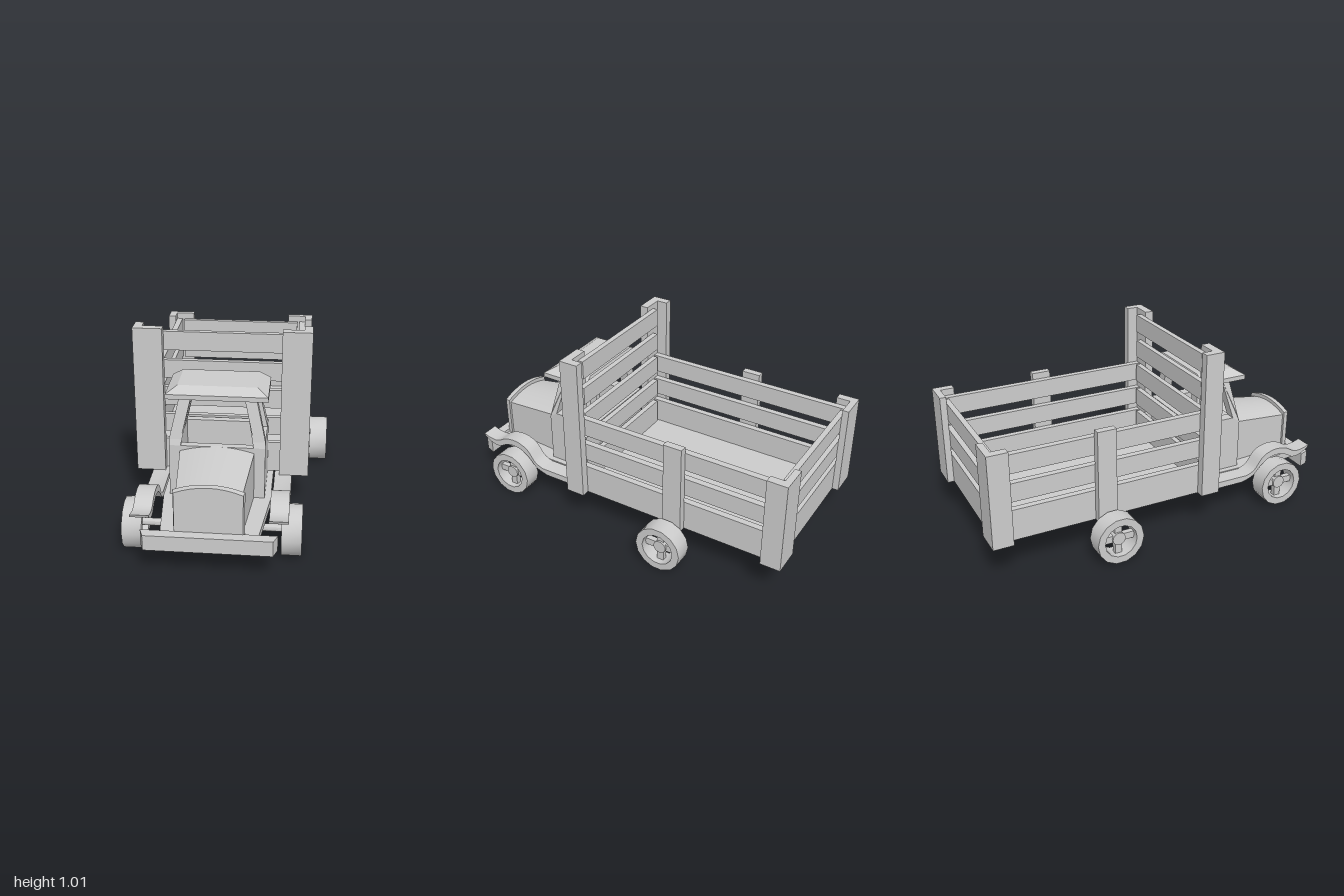
import * as THREE from 'three';
import { toCreasedNormals } from 'three/addons/utils/BufferGeometryUtils.js';

const material = new THREE.MeshStandardMaterial({ color: 0xcccccc, side: THREE.DoubleSide });
const V2 = (a) => a.map(([x, y]) => new THREE.Vector2(x, y));

export function createModel() {
  const truck = new THREE.Group();
  truck.name = 'stakeTruck';

  function add(name, geometry, parent = truck) {
    const mesh = new THREE.Mesh(geometry, material);
    mesh.name = name;
    parent.add(mesh);
    return mesh;
  }
  // Box from its limits on each axis
  function box(name, x0, x1, y0, y1, z0, z1, parent) {
    const g = new THREE.BoxGeometry(x1 - x0, y1 - y0, z1 - z0);
    g.translate((x0 + x1) / 2, (y0 + y1) / 2, (z0 + z1) / 2);
    return add(name, g, parent);
  }
  // Side profile in (z, y), extruded from x0 to x1
  function sideExtrude(shape, x0, x1) {
    const g = new THREE.ExtrudeGeometry(shape, { depth: x1 - x0, bevelEnabled: false, curveSegments: 8 });
    return g.rotateY(-Math.PI / 2).translate(x1, 0, 0);
  }
  // Plan outline in (x, z), extruded from y0 to y1
  function planExtrude(points, y0, y1) {
    const shape = new THREE.Shape(V2(points.map(([x, z]) => [x, -z])));
    const g = new THREE.ExtrudeGeometry(shape, { depth: y1 - y0, bevelEnabled: false });
    return g.rotateX(-Math.PI / 2).translate(0, y0, 0);
  }
  // Closed solid through cross-sections with equal point counts
  function loft(sections) {
    const n = sections[0].length, pos = [], idx = [];
    sections.forEach((s) => s.forEach((p) => pos.push(...p)));
    for (let s = 0; s < sections.length - 1; s++)
      for (let i = 0; i < n; i++) {
        const a = s * n + i, b = s * n + (i + 1) % n;
        idx.push(a, b, b + n, a, b + n, a + n);
      }
    const last = (sections.length - 1) * n;
    for (let i = 1; i < n - 1; i++) idx.push(0, i + 1, i, last, last + i, last + i + 1);
    const g = new THREE.BufferGeometry();
    g.setAttribute('position', new THREE.Float32BufferAttribute(pos, 3));
    g.setIndex(idx);
    return toCreasedNormals(g, 0.4);
  }

  // Chassis and bumper
  add('chassis', planExtrude([[-0.28, -0.63], [0.28, -0.63], [0.277, 0.56], [0.235, 0.95],
    [-0.235, 0.95], [-0.277, 0.56]], 0.16, 0.2));
  add('bumper', planExtrude([[-0.33, 0.945], [0.33, 0.945], [0.31, 1], [-0.31, 1]], 0.14, 0.22));

  // Bed floor, front and rear slats
  box('bedFloor', -0.42, 0.42, 0.2, 0.228, -0.965, 0.24);
  const slats = [[0.225, 0.37], [0.415, 0.517], [0.57, 0.673], [0.725, 0.825], [0.88, 0.982]];
  slats.forEach(([a, b], i) => {
    box('frontSlat', -0.37, 0.37, a, b, 0.21, 0.24);
    if (i < 3) box('rearSlat', -0.37, 0.37, a, b, -0.965, -0.935);
  });

  // Side slats, posts, fenders and cab sides on both sides
  for (const s of [1, -1]) {
    const span = (a, b) => (s > 0 ? [a, b] : [-b, -a]);
    slats.slice(0, 3).forEach(([a, b]) => box('sideSlat', ...span(0.385, 0.42), a, b, -0.965, 0.24));
    box('middleStake', ...span(0.42, 0.46), 0.2, 0.71, -0.43, -0.325);
    box('frontPostSide', ...span(0.42, 0.465), 0.2, 1.01, 0.18, 0.287);
    box('frontPostFace', ...span(0.31, 0.42), 0.2, 1.01, 0.24, 0.287);
    box('rearPostSide', ...span(0.42, 0.465), 0.2, 0.71, -1, -0.89);
    box('rearPostFace', ...span(0.31, 0.42), 0.2, 0.71, -1, -0.965);

    // Fender sweeping over the wheel into the running board
    const fender = new THREE.Shape();
    fender.moveTo(0.21, 0.2);
    fender.lineTo(0.53, 0.2);
    fender.splineThru(V2([[0.58, 0.225], [0.63, 0.29], [0.68, 0.317], [0.73, 0.325],
      [0.79, 0.315], [0.85, 0.285], [0.9, 0.285], [0.95, 0.3]]));
    fender.lineTo(0.945, 0.285);
    fender.splineThru(V2([[0.89, 0.255], [0.84, 0.25], [0.79, 0.275], [0.73, 0.288],
      [0.67, 0.275], [0.62, 0.24], [0.57, 0.19], [0.5, 0.165]]));
    fender.lineTo(0.21, 0.165);
    add('fender', toCreasedNormals(sideExtrude(fender, ...span(0.285, 0.378)), 0.5));

    // Cab side with window opening, leaning inward above the sill
    const side = new THREE.Shape(V2([[0.25, 0.2], [0.55, 0.2], [0.55, 0.48], [0.54, 0.51],
      [0.495, 0.745], [0.285, 0.745], [0.285, 0.51], [0.25, 0.51]]));
    side.holes.push(new THREE.Path(V2([[0.345, 0.51], [0.335, 0.74], [0.45, 0.74], [0.505, 0.51]])));
    const g = sideExtrude(side, ...span(0.185, 0.245));
    const p = g.attributes.position;
    for (let i = 0; i < p.count; i++)
      p.setX(i, p.getX(i) - s * 0.23 * Math.max(0, p.getY(i) - 0.51));
    g.computeVertexNormals();
    add('cabSide', g);
  }

  // Cab walls
  box('firewall', -0.19, 0.19, 0.2, 0.48, 0.51, 0.55);
  box('cabBack', -0.19, 0.19, 0.2, 0.51, 0.25, 0.29);

  // Roof with bevelled front and sides
  const roofRing = (x, y, z0, z1) => [[-x, y, z1], [x, y, z1], [x, y, z0], [-x, y, z0]];
  add('roof', loft([roofRing(0.256, 0.738, 0.28, 0.565), roofRing(0.256, 0.763, 0.28, 0.565),
    roofRing(0.2, 0.795, 0.29, 0.512)]));

  // Hood and grille share an arched section
  function arch(w, ySide, yTop, z) {
    const ring = [[-w, 0.2, z], [w, 0.2, z]];
    for (let i = 0; i <= 8; i++) {
      const t = 1 - i / 4;
      ring.push([w * t, yTop - (yTop - ySide) * t * t, z]);
    }
    return ring;
  }
  add('hood', loft([arch(0.19, 0.452, 0.482, 0.54), arch(0.158, 0.41, 0.44, 0.925)]));
  add('grille', loft([arch(0.172, 0.43, 0.462, 0.918), arch(0.165, 0.427, 0.46, 0.948)]));

  // Spoked wheels, built around x = 0
  const tyreProfile = V2([[0.09, -0.05], [0.13, -0.05], [0.13, 0.05], [0.09, 0.05], [0.09, -0.05]]);
  function wheel(x, z) {
    const group = new THREE.Group();
    group.name = 'wheel';
    const tyre = new THREE.LatheGeometry(tyreProfile, 14).rotateZ(Math.PI / 2);
    add('tyre', toCreasedNormals(tyre, 0.6), group);
    add('hub', toCreasedNormals(new THREE.CylinderGeometry(0.036, 0.036, 0.05, 14).rotateZ(Math.PI / 2), 0.6), group);
    for (let i = 0; i < 4; i++) {
      const spoke = box('spoke', -0.015, 0.015, 0.02, 0.095, -0.019, 0.019, group);
      spoke.rotation.x = i * Math.PI / 2;
    }
    group.position.set(x, 0.13, z);
    truck.add(group);
  }
  for (const [x, z, name] of [[0.393, 0.725, 'frontAxle'], [0.522, -0.358, 'rearAxle']]) {
    wheel(x, z);
    wheel(-x, z);
    const axle = new THREE.CylinderGeometry(0.019, 0.019, 2 * x, 12).rotateZ(Math.PI / 2);
    add(name, toCreasedNormals(axle, 0.7)).position.set(0, 0.133, z);
  }
  return truck;
}
